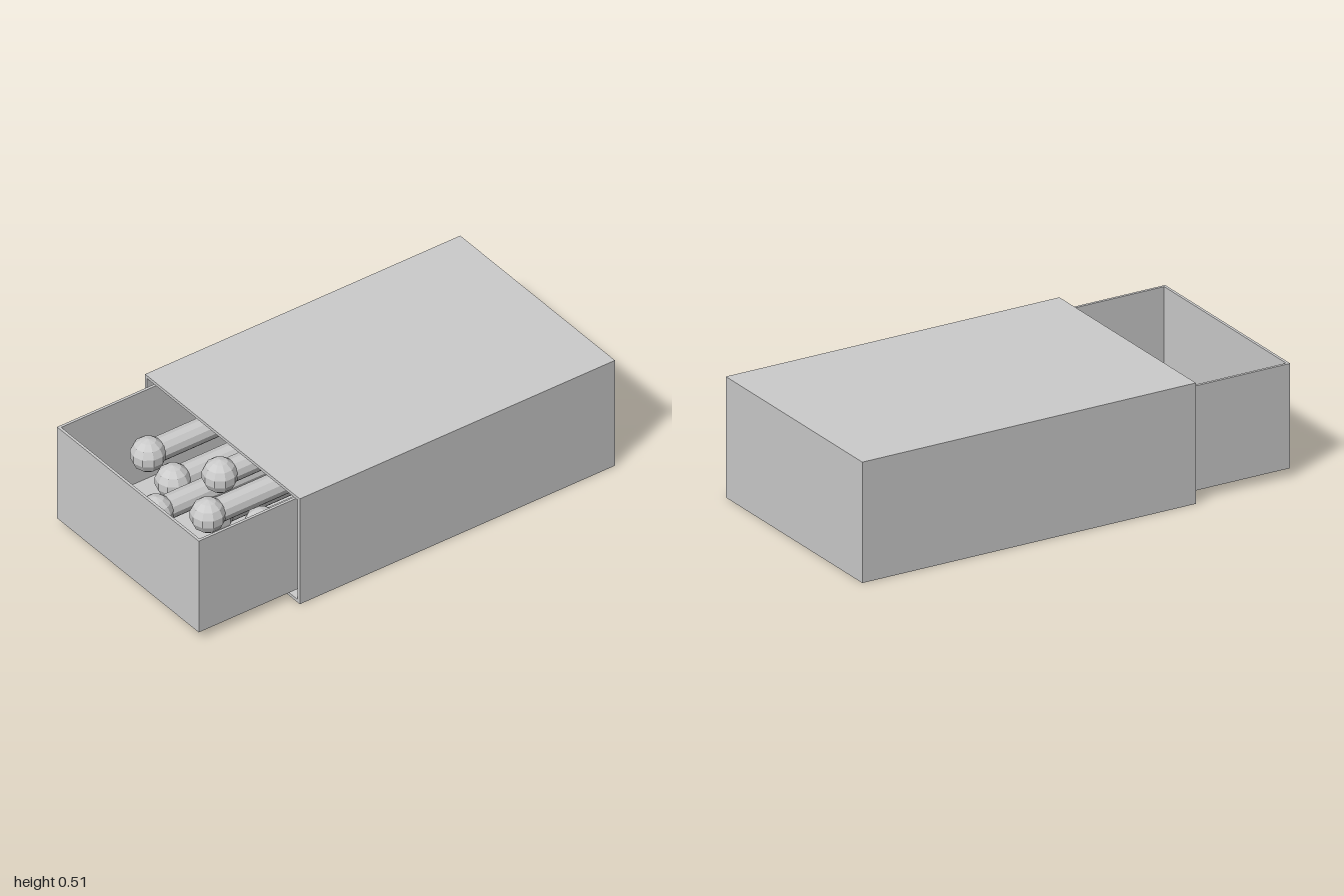
import * as THREE from 'three';

const material = new THREE.MeshStandardMaterial({ color: 0xcccccc, flatShading: true });

// Box panel spanning two opposite corners
function panel(group, name, [x0, y0, z0], [x1, y1, z1]) {
  const mesh = new THREE.Mesh(new THREE.BoxGeometry(x1 - x0, y1 - y0, z1 - z0), material);
  mesh.position.set((x0 + x1) / 2, (y0 + y1) / 2, (z0 + z1) / 2);
  mesh.name = name;
  group.add(mesh);
}

// Outer sleeve: open at the -x end, closed at +x
function createSleeve() {
  const g = new THREE.Group();
  g.name = 'sleeve';
  const x0 = -0.54, x1 = 1, h = 0.515, w = 0.512, t = 0.014;
  panel(g, 'sleeveBottom', [x0, 0, -w], [x1, t, w]);
  panel(g, 'sleeveTop', [x0, h - t, -w], [x1, h, w]);
  panel(g, 'sleeveBack', [x0, t, -w], [x1, h - t, -w + t]);
  panel(g, 'sleeveFront', [x0, t, w - t], [x1, h - t, w]);
  panel(g, 'sleeveEnd', [x1 - t, t, -w + t], [x1, h - t, w - t]);
  return g;
}

// Sliding tray: open on top, partly pulled out
function createTray() {
  const g = new THREE.Group();
  g.name = 'tray';
  const x0 = -1, x1 = 0.52, y0 = 0.037, y1 = 0.483, z0 = -0.472, z1 = 0.466, t = 0.012;
  panel(g, 'trayFloor', [x0, y0, z0], [x1, y0 + t, z1]);
  panel(g, 'trayBack', [x0, y0 + t, z0], [x1, y1, z0 + t]);
  panel(g, 'trayFront', [x0, y0 + t, z1 - t], [x1, y1, z1]);
  panel(g, 'trayOuterEnd', [x0, y0 + t, z0 + t], [x0 + t, y1, z1 - t]);
  panel(g, 'trayInnerEnd', [x1 - t, y0 + t, z0 + t], [x1, y1, z1 - t]);
  return g;
}

// Match lying along x with its head at the given point
const stickLength = 1;
const headGeometry = new THREE.SphereGeometry(0.074, 10, 7);
const stickGeometry = new THREE.CylinderGeometry(0.052, 0.052, stickLength, 12)
  .rotateZ(Math.PI / 2).translate(stickLength / 2, 0, 0);

function createMatch(x, y, z) {
  const g = new THREE.Group();
  g.name = 'match';
  const head = new THREE.Mesh(headGeometry, material);
  head.name = 'matchHead';
  const stick = new THREE.Mesh(stickGeometry, material);
  stick.name = 'matchStick';
  g.add(head, stick);
  g.position.set(x, y, z);
  return g;
}

export function createModel() {
  const model = new THREE.Group();
  model.name = 'matchbox';
  model.add(createSleeve(), createTray());

  // Head positions of the loosely piled matches
  const heads = [
    [-0.63, 0.25, -0.37], [-0.56, 0.13, -0.3], [-0.745, 0.14, -0.163],
    [-0.56, 0.13, -0.02], [-0.545, 0.325, -0.01], [-0.7, 0.275, 0.12],
    [-0.555, 0.13, 0.25], [-0.595, 0.31, 0.335],
  ];
  for (const p of heads) model.add(createMatch(...p));
  return model;
}
